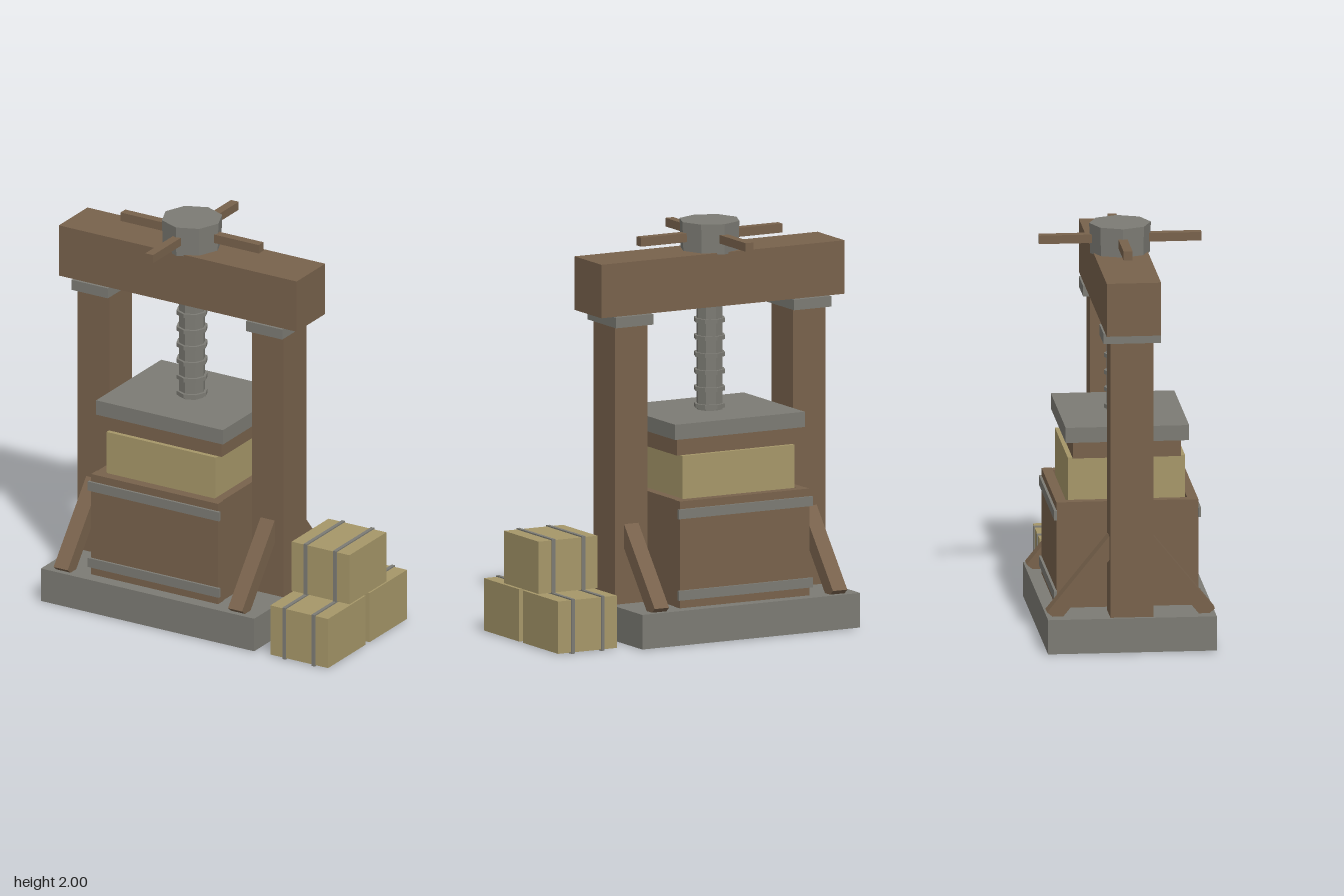
import * as THREE from 'three';

const material = (name, color) => {
  const m = new THREE.MeshStandardMaterial({ color });
  m.name = name;
  return m;
};

export function createModel() {
  const wood = material('wood', 0x78624c);
  const straw = material('straw', 0xa69769);
  const iron = material('iron', 0x7c7b74);

  const model = new THREE.Group();
  model.name = 'balePress';
  const press = new THREE.Group();
  press.name = 'press';
  press.position.x = -0.178;
  model.add(press);

  const add = (parent, name, geometry, mat, x, y, z) => {
    const mesh = new THREE.Mesh(geometry, mat);
    mesh.name = name;
    mesh.position.set(x, y, z);
    parent.add(mesh);
    return mesh;
  };
  // Box given by its centre in x and z, its bottom and top, width and depth
  const box = (parent, name, mat, x, z, y0, y1, w, d) =>
    add(parent, name, new THREE.BoxGeometry(w, y1 - y0, d), mat, x, (y0 + y1) / 2, z);
  // Faceted eight-sided cylinder
  const octagon = (name, rTop, rBottom, y0, y1) => {
    const g = new THREE.CylinderGeometry(rTop, rBottom, y1 - y0, 8).toNonIndexed();
    g.computeVertexNormals();
    return add(press, name, g, iron, 0, (y0 + y1) / 2, 0);
  };

  // Frame
  box(press, 'base', iron, 0, 0, 0.005, 0.175, 1.21, 0.82);
  box(press, 'topBeam', wood, 0, 0, 1.595, 1.858, 1.35, 0.264);

  for (const side of [-1, 1]) {
    const x = side * 0.495;
    box(press, 'post', wood, x, 0, 0.1, 1.56, 0.18, 0.21);
    box(press, 'postCap', iron, x, 0, 1.54, 1.592, 0.207, 0.28);

    // Diagonal braces, front and back
    for (const end of [-1, 1]) {
      const outer = [new THREE.Vector2(0.107, 0.567), new THREE.Vector2(0.408, 0.197)];
      const along = outer[1].clone().sub(outer[0]);
      const thick = 0.075;
      const angle = Math.atan2(along.x, -along.y);
      const z = (outer[0].x + outer[1].x) / 2 - Math.cos(angle) * thick / 2;
      const y = (outer[0].y + outer[1].y) / 2 - Math.sin(angle) * thick / 2;
      const brace = add(press, 'brace', new THREE.BoxGeometry(0.08, along.length(), thick),
        wood, x, y, end * z);
      brace.rotation.x = -end * angle;
    }
  }

  // Pressing chamber: front and back panels, recessed side panels, iron bands
  for (const s of [-1, 1]) {
    box(press, 'chamberPanel', wood, 0, s * 0.32, 0.175, 0.7, 0.72, 0.05);
    box(press, 'chamberSide', wood, s * 0.333, 0, 0.175, 0.7, 0.045, 0.6);
    for (const y of [0.215, 0.615])
      box(press, 'chamberBand', iron, 0, s * 0.35, y, y + 0.047, 0.745, 0.014);
  }

  // Straw charge and the plates pressing it
  box(press, 'strawCharge', straw, 0, 0, 0.2, 0.91, 0.62, 0.57);
  box(press, 'pressBlock', wood, 0, 0, 0.91, 0.997, 0.66, 0.525);
  box(press, 'pressPlate', iron, 0, 0, 0.995, 1.07, 0.72, 0.6);

  // Screw with thread rings
  octagon('screw', 0.065, 0.065, 1.06, 1.62);
  for (let i = 0; i < 6; i++) {
    const y = 1.09 + i * 0.084;
    octagon('threadRing', 0.078, 0.078, y - 0.01, y + 0.01);
  }

  // Hub and crossed turning bars
  octagon('hub', 0.15, 0.145, 1.85, 2);
  box(press, 'turningBar', wood, 0, 0, 1.904, 1.948, 0.785, 0.044);
  box(press, 'turningBar', wood, 0, 0, 1.905, 1.947, 0.044, 0.79);

  // Stacked bales, each tied with two straps
  for (const [z, y, depth] of [[0.235, 0.007, 0.345], [-0.148, 0.007, 0.345], [0.04, 0.271, 0.34]]) {
    const bale = new THREE.Group();
    bale.name = 'bale';
    bale.position.set(0.681, y, z);
    model.add(bale);
    box(bale, 'baleStraw', straw, 0, 0, 0, 0.257, 0.328, depth);
    for (const x of [-0.083, 0.083])
      box(bale, 'baleStrap', iron, x, 0, -0.006, 0.263, 0.018, depth + 0.012);
  }

  return model;
}
